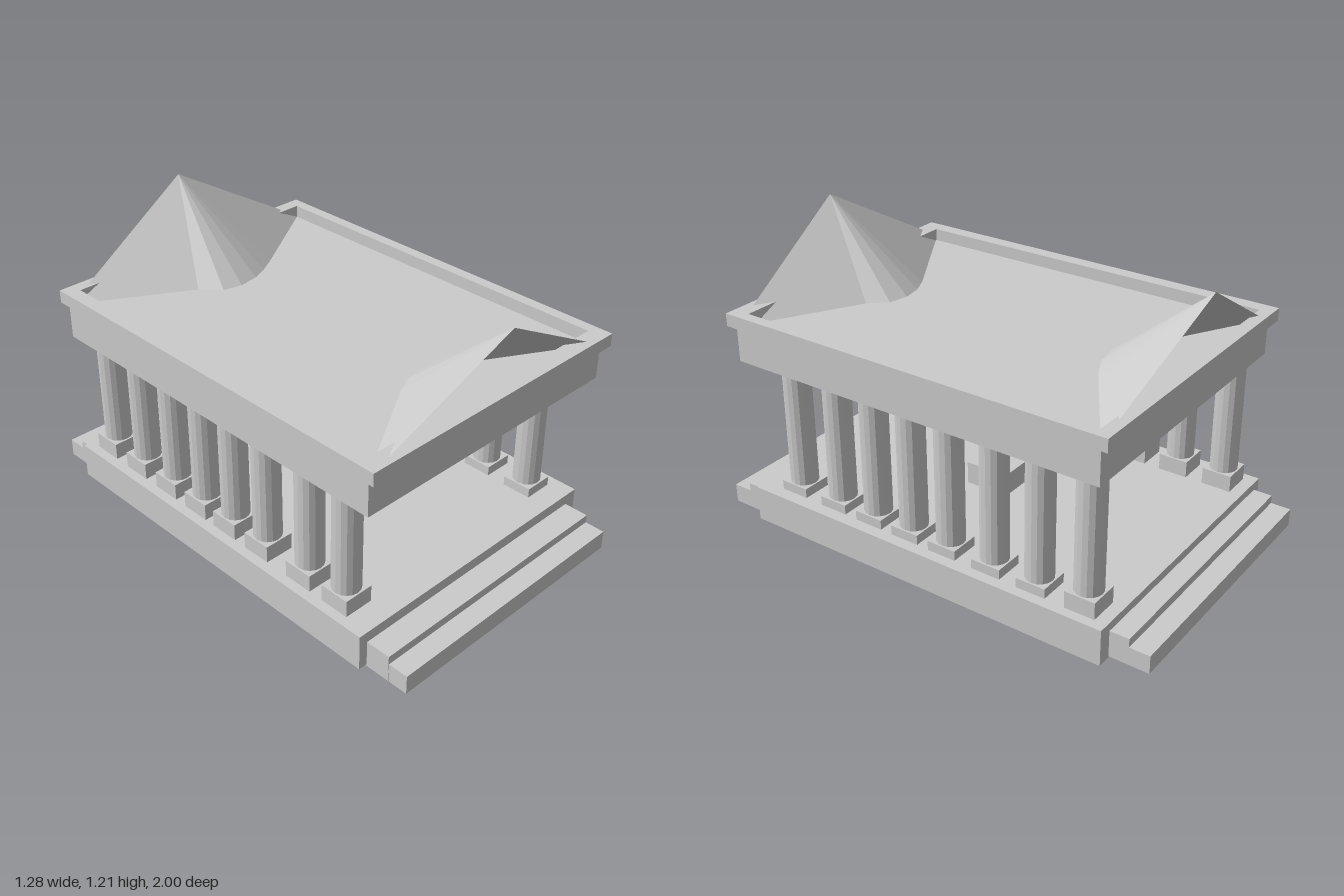
import * as THREE from 'three';

const material = new THREE.MeshStandardMaterial({ color: 0xcccccc, flatShading: true });
const thinMaterial = new THREE.MeshStandardMaterial({ color: 0xcccccc, flatShading: true, side: THREE.DoubleSide });

// Box given by its limits on each axis
function block(name, [x0, x1], [y0, y1], [z0, z1]) {
  const mesh = new THREE.Mesh(new THREE.BoxGeometry(x1 - x0, y1 - y0, z1 - z0), material);
  mesh.position.set((x0 + x1) / 2, (y0 + y1) / 2, (z0 + z1) / 2);
  mesh.name = name;
  return mesh;
}

// Round shaft on a square plinth
function column(x, z, plinthTop) {
  const group = new THREE.Group();
  group.name = 'column';
  const h = 0.063;
  group.add(block('plinth', [x - h, x + h], [0.155, plinthTop], [z - h, z + h]));
  const shaft = new THREE.Mesh(new THREE.CylinderGeometry(0.057, 0.057, 0.72 - plinthTop, 16), material);
  shaft.position.set(x, (0.72 + plinthTop) / 2, z);
  shaft.name = 'shaft';
  group.add(shaft);
  return group;
}

// Raised rim around the sunken roof floor
function cornice() {
  const shape = new THREE.Shape();
  shape.moveTo(-0.64, -0.835).lineTo(0.637, -0.835).lineTo(0.637, 0.885).lineTo(-0.64, 0.885).closePath();
  const hole = new THREE.Path();
  hole.moveTo(-0.58, -0.78).lineTo(-0.58, 0.81).lineTo(0.59, 0.81).lineTo(0.59, -0.78).closePath();
  shape.holes.push(hole);
  const geometry = new THREE.ExtrudeGeometry(shape, { depth: 0.053, bevelEnabled: false });
  geometry.rotateX(Math.PI / 2).translate(0, 0.915, 0);
  const mesh = new THREE.Mesh(geometry, material);
  mesh.name = 'cornice';
  return mesh;
}

// Open fan of triangles from a leaning apex down to points on the roof floor
function pediment(name, apex, footprint) {
  const positions = [];
  for (let i = 0; i < footprint.length - 1; i++) {
    const [ax, az] = footprint[i], [bx, bz] = footprint[i + 1];
    positions.push(...apex, ax, 0.863, az, bx, 0.863, bz);
  }
  const geometry = new THREE.BufferGeometry();
  geometry.setAttribute('position', new THREE.Float32BufferAttribute(positions, 3));
  geometry.computeVertexNormals();
  const mesh = new THREE.Mesh(geometry, thinMaterial);
  mesh.name = name;
  return mesh;
}

export function createModel() {
  const model = new THREE.Group();
  model.name = 'temple';

  // Platform and steps
  model.add(
    block('platform', [-0.61, 0.635], [0.01, 0.16], [-0.835, 0.81]),
    block('frontLowerStep', [-0.57, 0.58], [0, 0.08], [0.8, 1]),
    block('frontUpperStep', [-0.572, 0.58], [0.002, 0.115], [0.8, 0.915]),
    block('backLowerStep', [-0.57, 0.577], [0.015, 0.09], [-1, -0.825]),
    block('backUpperStep', [-0.57, 0.577], [0.017, 0.125], [-0.915, -0.825]),
    block('altar', [-0.083, 0.107], [0.155, 0.255], [-0.06, 0.13])
  );

  // Side colonnades, slightly irregular in spacing
  const columns = new THREE.Group();
  columns.name = 'columns';
  const rightZ = [0.64, 0.45, 0.22, 0.035, -0.14, -0.325, -0.52, -0.72];
  const leftZ = [0.65, 0.44, 0.255, 0.075, -0.105, -0.31, -0.51, -0.72];
  rightZ.forEach((z) => columns.add(column(-0.506, z, 0.23)));
  leftZ.forEach((z, i) => columns.add(column(0.518 + i * 0.002, z, i === 7 ? 0.23 : 0.2)));
  model.add(columns);

  // Entablature and roof
  model.add(block('architrave', [-0.625, 0.62], [0.715, 0.863], [-0.8, 0.85]), cornice());

  // Leaning pediments at both ends
  model.add(
    pediment('frontPediment', [-0.02, 1.21, 0.92], [
      [-0.63, 0.844], [-0.15, 0.55], [-0.075, 0.515], [0.01, 0.5], [0.095, 0.52], [0.16, 0.59], [0.615, 0.844]
    ]),
    pediment('backPediment', [0.005, 1.21, -0.868], [
      [0.6, -0.786], [0.2, -0.53], [0.13, -0.49], [0.06, -0.46], [-0.03, -0.445], [-0.11, -0.465], [-0.18, -0.54], [-0.62, -0.79]
    ])
  );
  return model;
}
